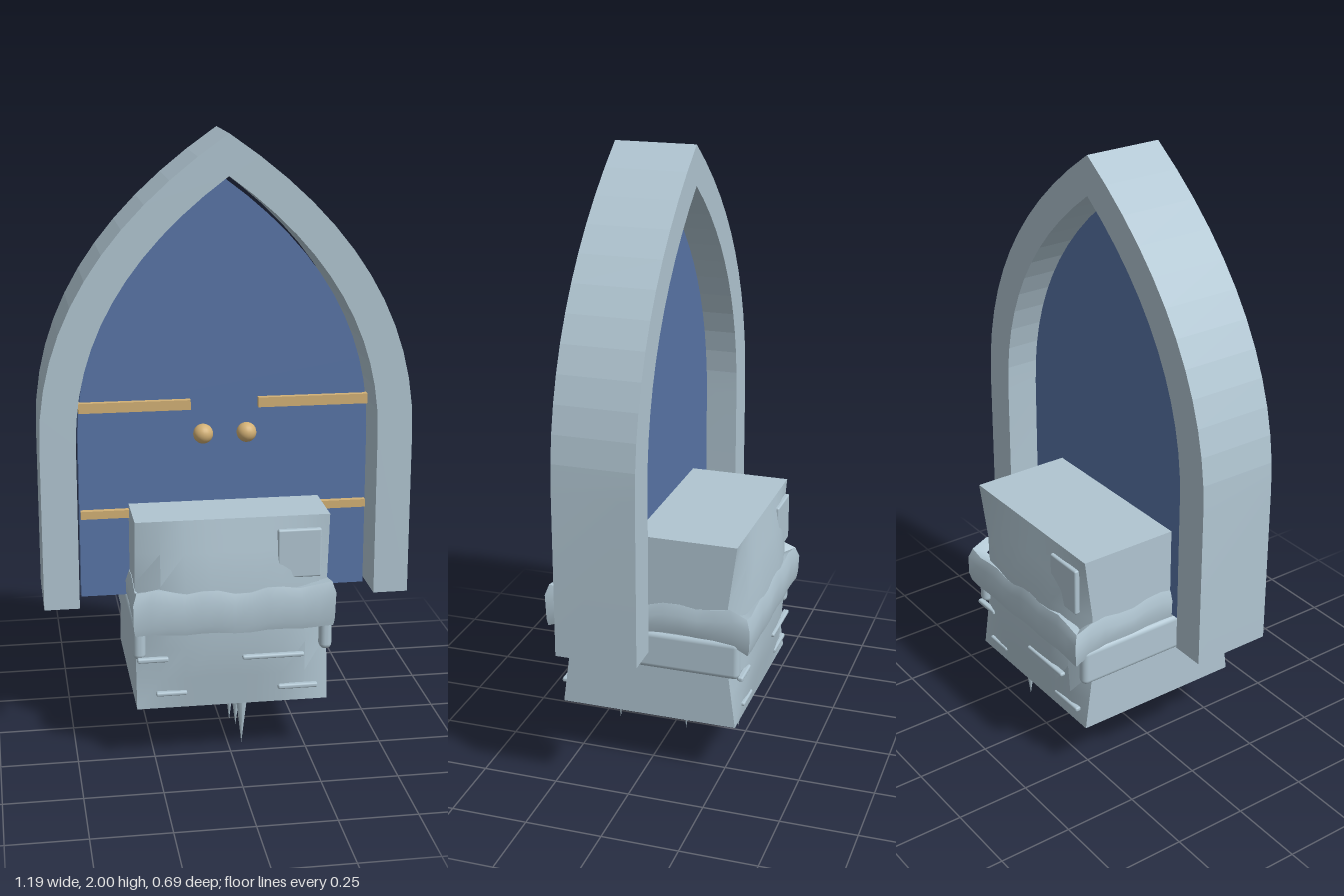
import * as THREE from 'three';
import { toCreasedNormals } from 'three/addons/utils/BufferGeometryUtils.js';
import { RoundedBoxGeometry } from 'three/addons/geometries/RoundedBoxGeometry.js';

const mat = (name, color) => {
  const m = new THREE.MeshStandardMaterial({ color });
  m.name = name;
  return m;
};
const stone = mat('pale stone', 0xb0c5d1);
const blue = mat('door blue', 0x5874a6);
const gold = mat('brass', 0xd2b075);

function add(parent, name, geometry, material, x = 0, y = 0, z = 0) {
  const mesh = new THREE.Mesh(geometry, material);
  mesh.name = name;
  mesh.position.set(x, y, z);
  parent.add(mesh);
  return mesh;
}

const BASE = 0.51, SPRING = 1.05;

// Right half of a pointed arch, from the foot to the apex
function archSide(halfWidth, apex) {
  const curve = new THREE.QuadraticBezierCurve(
    new THREE.Vector2(halfWidth, SPRING),
    new THREE.Vector2(halfWidth, SPRING + (apex - SPRING) * 0.58),
    new THREE.Vector2(0, apex));
  return [new THREE.Vector2(halfWidth, BASE), ...curve.getPoints(12)];
}
const mirrored = (pts) => pts.slice(0, -1).reverse().map((p) => new THREE.Vector2(-p.x, p.y));
const archLine = (w, a) => { const s = archSide(w, a); return [...s, ...mirrored(s)]; };

function extrude(points, depth) {
  const g = new THREE.ExtrudeGeometry(new THREE.Shape(points), { depth, bevelEnabled: false });
  return toCreasedNormals(g, 0.05);
}

// Block whose front and back swell between top and bottom, with pinched corners
function blockGeometry() {
  const g = new THREE.BoxGeometry(0.62, 0.63, 0.59, 8, 6, 1);
  const p = g.attributes.position;
  for (let i = 0; i < p.count; i++) {
    const swell = Math.min(1, (1 - Math.abs(p.getY(i)) / 0.315) * 1.5);
    const across = 1 - 1.8 * Math.abs(p.getX(i) / 0.31) ** 4;
    p.setZ(i, p.getZ(i) + Math.sign(p.getZ(i)) * 0.035 * swell * across);
  }
  return toCreasedNormals(g, 0.4);
}

// Ragged belt running round the block
function beltGeometry() {
  const N = 12, HX = 0.323, HZ = 0.345, ring = [];
  const corners = [[-1, 1], [1, 1], [1, -1], [-1, -1]];
  corners.forEach(([ax, az], c) => {
    const [bx, bz] = corners[(c + 1) % 4];
    for (let i = 0; i < N; i++) {
      const t = i / N;
      ring.push([ax + (bx - ax) * t, az + (bz - az) * t]);
    }
  });
  const pos = [], index = [], S = 6;
  ring.forEach(([u, v], i) => {
    const wave = 0.008 * Math.sin(i * 1.7) + 0.006 * Math.sin(i * 0.6 + 1);
    const top = 0.585 + wave + (v < -0.9 ? -0.015 : 0);
    const bottom = 0.497 - 0.04 * Math.abs(v) ** 6 + wave * 0.4;
    const section = [[0.86, top], [0.965, top + 0.01], [1, top - 0.025],
      [1 - Math.abs(wave) * 0.6, bottom + 0.025], [0.98, bottom], [0.86, bottom]];
    section.forEach(([k, y]) => pos.push(u * HX * k, y, v * HZ * k));
  });
  const n = ring.length;
  for (let i = 0; i < n; i++) {
    for (let j = 0; j < S - 1; j++) {
      const a = i * S + j, c = ((i + 1) % n) * S + j;
      index.push(a, a + 1, c, a + 1, c + 1, c);
    }
  }
  const g = new THREE.BufferGeometry();
  g.setAttribute('position', new THREE.Float32BufferAttribute(pos, 3));
  g.setIndex(index);
  return toCreasedNormals(g, 0.7);
}

export function createModel() {
  const model = new THREE.Group();
  model.name = 'archedDoorway';

  // Pointed stone frame
  const inner = archLine(0.48, 1.873).reverse();
  add(model, 'archFrame', extrude([...archLine(0.593, 2), ...inner], 0.265), stone, 0, 0, -0.065);

  // Door with its brass fittings
  const door = new THREE.Group();
  door.name = 'door';
  model.add(door);
  add(door, 'doorPanel', extrude(archLine(0.468, 1.857), 0.055), blue, 0, 0, 0.04);
  for (const side of [-1, 1]) {
    for (const [y, h] of [[1.145, 0.032], [0.792, 0.026]]) {
      add(door, 'hingeBar', new THREE.BoxGeometry(0.356, h, 0.03), gold, side * 0.287, y, 0.1);
    }
    add(door, 'doorKnob', new THREE.SphereGeometry(0.032, 20, 14), gold, side * 0.07, 1.05, 0.117);
  }

  // Stone block at the foot of the door
  const block = new THREE.Group();
  block.name = 'stoneBlock';
  model.add(block);
  add(block, 'blockBody', blockGeometry(), stone, 0, 0.505, -0.003);
  add(block, 'raggedBelt', beltGeometry(), stone);
  for (const side of [-1, 1]) {
    add(block, 'sidePad', new RoundedBoxGeometry(0.04, 0.13, 0.62, 3, 0.018), stone, side * 0.301, 0.43, 0);
  }

  // Worn ridges and chips on the front and back faces
  const chips = [[0.21, 0.7, 0.14, 0.16, 0.305], [-0.26, 0.367, 0.1, 0.016, 0.312],
    [0.125, 0.365, 0.2, 0.014, 0.327], [0.21, 0.245, 0.13, 0.016, 0.302], [-0.2, 0.245, 0.1, 0.014, 0.303]];
  for (const face of [-1, 1]) {
    for (const [x, y, w, h, z] of chips) {
      add(block, 'chip', new RoundedBoxGeometry(w, h, 0.02, 2, 0.006), stone, x * face, y, z * face);
    }
  }

  // Icicles under the block: x, z, tip height
  const icicles = [[0.045, 0.19, 0], [0.03, 0.158, 0.05], [0.025, 0.055, 0.02], [0.045, -0.05, 0],
    [0.095, -0.25, 0.07], [-0.008, -0.2, 0.13], [0.192, 0, 0.13], [0.14, 0.015, 0.13],
    [0.19, 0.13, 0.165], [-0.01, -0.1, 0.165]];
  for (const [x, z, tip] of icicles) {
    const length = 0.2 - tip;
    const cone = new THREE.ConeGeometry(0.009 + length * 0.07, length, 10);
    cone.rotateX(Math.PI);
    add(block, 'icicle', cone, stone, x, tip + length / 2, z);
  }
  return model;
}
